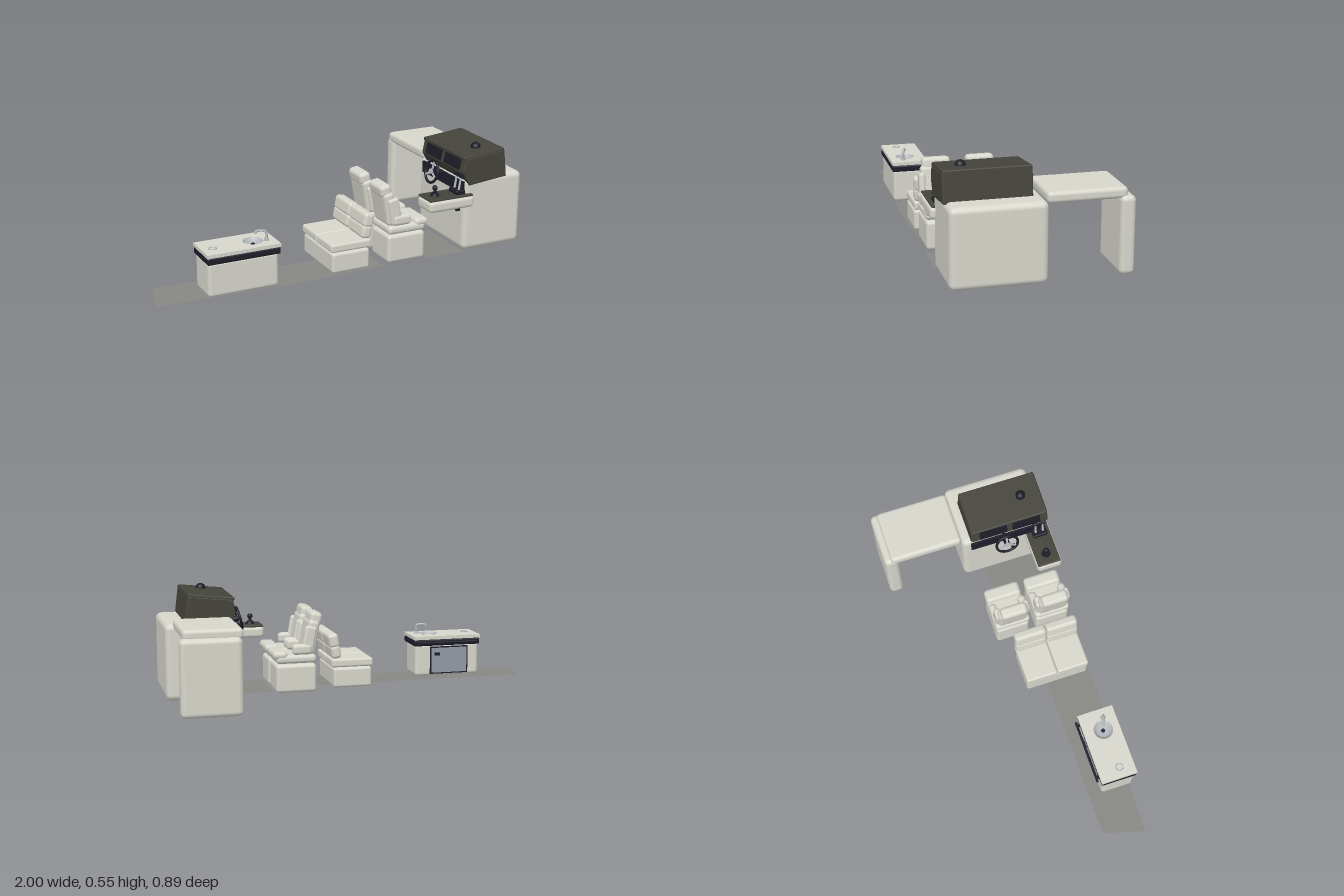
import * as THREE from 'three';
import { RoundedBoxGeometry } from 'three/addons/geometries/RoundedBoxGeometry.js';

const mat = (name, color, side = THREE.FrontSide) => {
  const m = new THREE.MeshStandardMaterial({ color, side });
  m.name = name;
  return m;
};

export function createModel() {
  const cream = mat('cream', 0xd6d6cc);
  const olive = mat('dark olive', 0x44443b);
  const navy = mat('navy black', 0x1d1d29);
  const deck = mat('deck grey', 0x868682, THREE.DoubleSide);
  const steel = mat('steel', 0xb4b8bb, THREE.DoubleSide);
  const door = mat('door grey', 0x929aa3);
  const root = new THREE.Group();

  const add = (parent, name, geo, material, x = 0, y = 0, z = 0) => {
    const m = new THREE.Mesh(geo, material);
    m.name = name;
    m.position.set(x, y, z);
    parent.add(m);
    return m;
  };
  const group = (name, x = 0, y = 0, z = 0) => {
    const g = new THREE.Group();
    g.name = name;
    g.position.set(x, y, z);
    root.add(g);
    return g;
  };
  // rounded box from its limits, optionally tilted about z
  const rbox = (parent, name, material, [x0, x1], [y0, y1], [z0, z1], r = 0.015, tilt = 0) => {
    const m = add(parent, name, new RoundedBoxGeometry(x1 - x0, y1 - y0, z1 - z0, 4, r), material,
      (x0 + x1) / 2, (y0 + y1) / 2, (z0 + z1) / 2);
    m.rotation.z = tilt;
    return m;
  };
  const box = (parent, name, material, w, h, d, x, y, z) =>
    add(parent, name, new THREE.BoxGeometry(w, h, d), material, x, y, z);
  const cyl = (parent, name, material, r0, r1, h, x, y, z) =>
    add(parent, name, new THREE.CylinderGeometry(r0, r1, h, 24), material, x, y, z);

  // deck plates
  const plate = (name, pts) => {
    const s = new THREE.Shape(pts.map(([x, z]) => new THREE.Vector2(x, -z)));
    add(root, name, new THREE.ShapeGeometry(s).rotateX(-Math.PI / 2), deck);
  };
  plate('mainDeck', [[-1, 0.4], [-0.2, 0.425], [0.2, 0.41], [0.2, 0.21], [0.1, 0.19], [-0.94, 0.19]]);
  plate('helmDeck', [[0.44, 0.42], [0.66, 0.42], [0.66, 0.08], [0.44, 0.08]]);

  // helm cabinet, side table and its end panel
  const helm = group('helmConsole');
  rbox(helm, 'cabinet', cream, [0.655, 0.998], [0.003, 0.39], [-0.035, 0.42], 0.03);
  rbox(helm, 'tableTop', cream, [0.67, 0.96], [0.365, 0.42], [-0.415, -0.035], 0.02);
  rbox(helm, 'tableEndPanel', cream, [0.68, 0.977], [0.003, 0.38], [-0.45, -0.377], 0.025);
  box(helm, 'lowerInstrumentPanel', navy, 0.012, 0.06, 0.4, 0.652, 0.345, 0.21);
  [0.24, 0.37].forEach(z => {
    cyl(helm, 'dashKnob', navy, 0.012, 0.012, 0.02, 0.647, 0.22, z).rotation.z = Math.PI / 2;
  });

  // dash hood, tilted back, with its lid, screens and compass
  const hood = group('dashHood', 0.768, 0.44, 0.22);
  hood.rotation.z = 0.1;
  const hoodShape = new THREE.Shape([[-0.095, -0.068], [0.115, -0.068], [0.112, 0.063],
    [-0.105, 0.063], [-0.125, 0.0]].map(p => new THREE.Vector2(...p)));
  add(hood, 'hoodBody', new THREE.ExtrudeGeometry(hoodShape,
    { depth: 0.4, bevelSize: 0.006, bevelThickness: 0.008, bevelSegments: 3 }), olive, 0, 0, -0.2);
  rbox(hood, 'hoodLid', olive, [-0.118, 0.118], [0.062, 0.08], [-0.207, 0.205], 0.007);
  [-0.09, 0.09].forEach(z => {
    box(hood, 'screen', navy, 0.008, 0.056, 0.15, -0.122, 0.033, z).rotation.z = -0.31;
  });
  add(hood, 'compassDome', new THREE.SphereGeometry(0.026, 24, 12, 0, Math.PI * 2, 0, Math.PI / 2),
    navy, 0.012, 0.08, 0.1);

  // steering wheel on a short column
  const wheel = group('steeringWheel', 0.595, 0.375, 0.19);
  wheel.rotation.z = -0.25;
  add(wheel, 'rim', new THREE.TorusGeometry(0.058, 0.007, 10, 40).rotateY(Math.PI / 2), navy);
  cyl(wheel, 'column', navy, 0.014, 0.018, 0.075, 0.035, 0, 0).rotation.z = Math.PI / 2;
  cyl(wheel, 'hub', steel, 0.014, 0.014, 0.012, -0.005, 0, 0).rotation.z = Math.PI / 2;
  for (let i = 0; i < 3; i++) {
    const a = Math.PI / 2 + i * Math.PI * 2 / 3;
    box(wheel, 'spoke', steel, 0.006, 0.056, 0.01, 0, Math.sin(a) * 0.03, Math.cos(a) * 0.03)
      .rotation.x = Math.PI / 2 - a;
  }

  // side control pod with joystick and throttle levers
  const pod = group('controlPod');
  rbox(pod, 'podBody', cream, [0.44, 0.7], [0.245, 0.306], [0.31, 0.445], 0.02);
  rbox(pod, 'podTop', olive, [0.445, 0.695], [0.302, 0.314], [0.313, 0.437], 0.005);
  cyl(pod, 'joystickBase', navy, 0.018, 0.024, 0.015, 0.505, 0.32, 0.375);
  cyl(pod, 'joystickStem', navy, 0.007, 0.008, 0.03, 0.505, 0.337, 0.375);
  add(pod, 'joystickKnob', new THREE.SphereGeometry(0.014, 20, 12), navy, 0.505, 0.355, 0.375);
  rbox(pod, 'throttleBase', navy, [0.605, 0.66], [0.312, 0.335], [0.34, 0.42], 0.008);
  [0.36, 0.4].forEach(z => {
    cyl(pod, 'throttleLever', steel, 0.005, 0.006, 0.07, 0.635, 0.365, z).rotation.z = -0.15;
    const grip = cyl(pod, 'throttleGrip', navy, 0.01, 0.01, 0.03, 0.642, 0.405, z);
    grip.rotation.x = Math.PI / 2;
  });

  // two helm seats facing the console
  [0.1, 0.32].forEach(z => {
    const seat = group('helmSeat', 0, 0, z);
    rbox(seat, 'seatBase', cream, [0.225, 0.435], [0.004, 0.15], [-0.09, 0.09], 0.018);
    rbox(seat, 'seatCushion', cream, [0.225, 0.435], [0.155, 0.2], [-0.095, 0.095], 0.02);
    rbox(seat, 'seatBolster', cream, [0.375, 0.45], [0.178, 0.22], [-0.095, 0.095], 0.02);
    rbox(seat, 'backrest', cream, [0.215, 0.275], [0.195, 0.375], [-0.08, 0.08], 0.022, 0.18);
    rbox(seat, 'headrest', cream, [0.19, 0.252], [0.35, 0.412], [-0.07, 0.07], 0.02, 0.18);
    [-1, 1].forEach(s => {
      rbox(seat, 'backWing', cream, [0.232, 0.292], [0.205, 0.345], [s * 0.077 - 0.016, s * 0.077 + 0.016],
        0.014, 0.18);
      rbox(seat, 'armrest', cream, [0.25, 0.35], [0.2, 0.255], [s * 0.08 - 0.02, s * 0.08 + 0.02], 0.018);
    });
  });

  // double bench facing away from the helm
  const bench = group('bench');
  rbox(bench, 'benchBase', cream, [-0.085, 0.12], [0.004, 0.108], [0.075, 0.41], 0.014);
  [[0.07, 0.239], [0.241, 0.41]].forEach(zs => {
    rbox(bench, 'benchCushion', cream, [-0.092, 0.13], [0.112, 0.156], zs, 0.012);
    rbox(bench, 'benchBackLower', cream, [0.08, 0.132], [0.158, 0.228], zs, 0.018, -0.18);
    rbox(bench, 'benchBackUpper', cream, [0.09, 0.144], [0.215, 0.288], zs, 0.018, -0.18);
  });

  // galley unit with sink
  const galley = group('galley');
  rbox(galley, 'galleyBase', cream, [-0.74, -0.38], [0.004, 0.18], [0.255, 0.425], 0.018);
  rbox(galley, 'counterRim', navy, [-0.745, -0.37], [0.17, 0.206], [0.245, 0.432], 0.01);
  const top = new THREE.Shape([[-0.745, -0.432], [-0.37, -0.432], [-0.37, -0.243], [-0.745, -0.243]]
    .map(p => new THREE.Vector2(...p)));
  top.holes.push(new THREE.Path().absarc(-0.48, -0.345, 0.045, 0, Math.PI * 2, true));
  add(galley, 'counterTop', new THREE.ExtrudeGeometry(top, { depth: 0.018, bevelEnabled: false, curveSegments: 32 })
    .rotateX(-Math.PI / 2), cream, 0, 0.206, 0);
  const bowl = [[0, 0.207], [0.03, 0.208], [0.04, 0.213], [0.045, 0.224], [0.05, 0.226]];
  add(galley, 'sinkBowl', new THREE.LatheGeometry(bowl.map(p => new THREE.Vector2(...p)), 32), steel, -0.48, 0, 0.345);
  cyl(galley, 'drain', navy, 0.01, 0.01, 0.004, -0.48, 0.209, 0.345);
  add(galley, 'fillerRing', new THREE.TorusGeometry(0.018, 0.003, 8, 28).rotateX(Math.PI / 2), steel, -0.69, 0.225, 0.355);
  const path = new THREE.CatmullRomCurve3([[-0.418, 0.222, 0.365], [-0.418, 0.262, 0.365], [-0.424, 0.272, 0.363],
    [-0.464, 0.272, 0.35], [-0.468, 0.26, 0.349]].map(p => new THREE.Vector3(...p)));
  add(galley, 'faucet', new THREE.TubeGeometry(path, 32, 0.006, 10), steel);
  cyl(galley, 'faucetFoot', steel, 0.011, 0.013, 0.01, -0.418, 0.229, 0.365);
  // door and grab rail on the back side
  box(galley, 'doorFrame', navy, 0.215, 0.15, 0.006, -0.57, 0.09, 0.254);
  box(galley, 'door', door, 0.2, 0.136, 0.008, -0.57, 0.09, 0.251);
  box(galley, 'doorLatch', navy, 0.03, 0.016, 0.008, -0.5, 0.125, 0.246);
  cyl(galley, 'grabRail', navy, 0.006, 0.006, 0.33, -0.555, 0.19, 0.23).rotation.z = Math.PI / 2;
  [-0.7, -0.41].forEach(x => box(galley, 'railBracket', navy, 0.012, 0.012, 0.025, x, 0.19, 0.24));

  return root;
}
